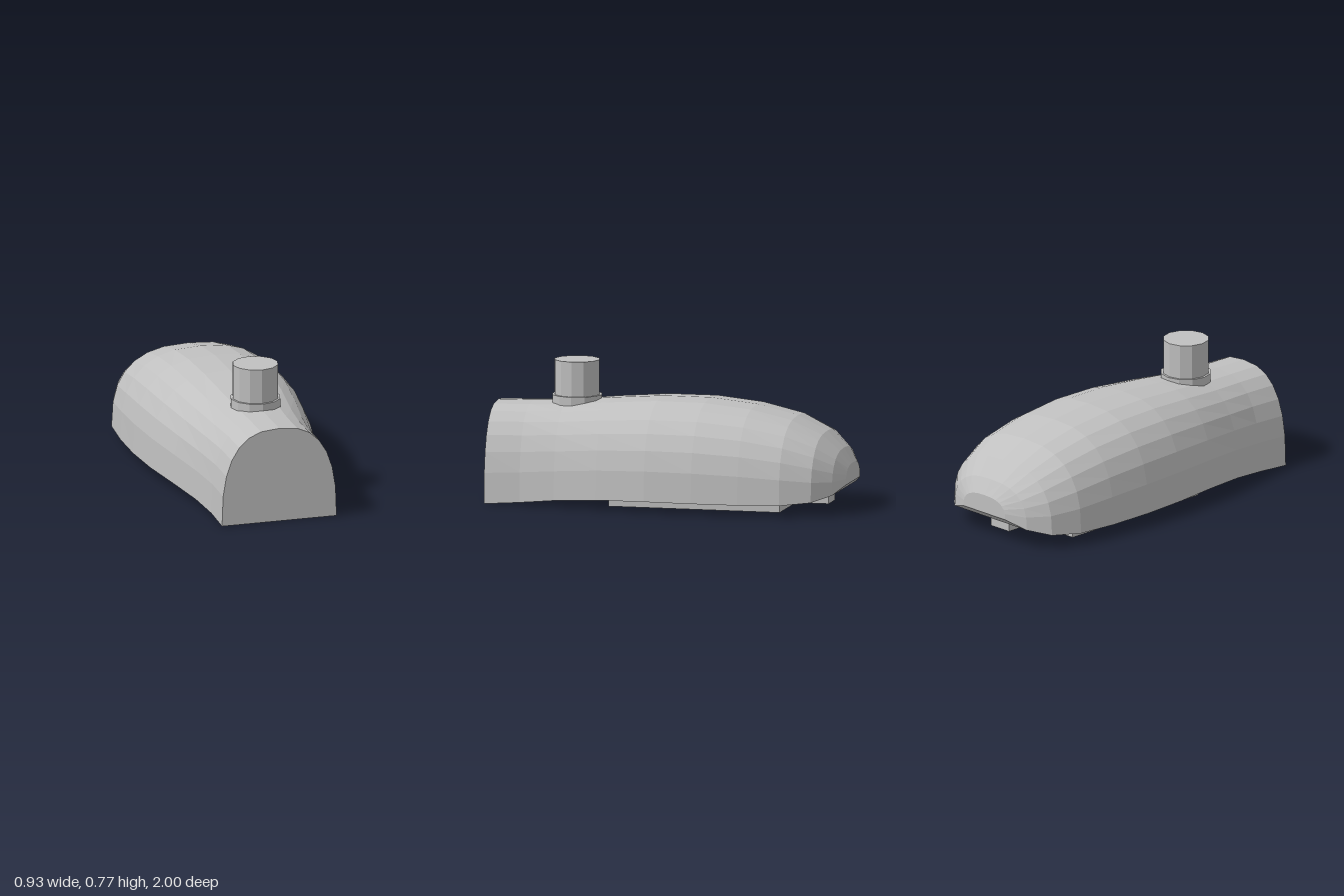
import * as THREE from 'three';

// Stations along the body: z, half width, floor height, crown height
const STATIONS = [
  [1, 0.328, 0, 0.532], [0.8, 0.328, 0.014, 0.535], [0.6, 0.357, 0.036, 0.542],
  [0.35, 0.408, 0.055, 0.565], [0.07, 0.451, 0.062, 0.585], [-0.2, 0.467, 0.063, 0.585],
  [-0.46, 0.461, 0.063, 0.558], [-0.69, 0.44, 0.066, 0.505], [-0.855, 0.38, 0.08, 0.425],
  [-0.95, 0.28, 0.109, 0.335], [-1, 0.163, 0.152, 0.255],
];
const ARCH_STEPS = 14;

// Squarish half-dome arch with a flat floor, lofted through the stations
function loftBody() {
  const n = ARCH_STEPS + 1, positions = [], index = [];
  const soften = (v) => Math.sign(v) * Math.pow(Math.abs(v), 0.76);
  for (const [z, w, floor, crown] of STATIONS) {
    for (let j = 0; j < n; j++) {
      const a = (Math.PI * j) / ARCH_STEPS;
      const up = j === ARCH_STEPS ? 0 : soften(Math.sin(a));
      positions.push(w * soften(Math.cos(a)), floor + (crown - floor) * up, z);
    }
  }
  const last = (STATIONS.length - 1) * n;
  for (let i = 0; i < last; i += n) {
    for (let j = 0; j < n; j++) {
      const k = (j + 1) % n;
      index.push(i + j, i + n + j, i + k, i + k, i + n + j, i + n + k);
    }
  }
  // Front and back end faces
  for (let j = 1; j < n - 1; j++) {
    index.push(0, j, j + 1, last, last + j + 1, last + j);
  }
  const indexed = new THREE.BufferGeometry();
  indexed.setAttribute('position', new THREE.Float32BufferAttribute(positions, 3));
  indexed.setIndex(index);
  const geometry = indexed.toNonIndexed();
  geometry.computeVertexNormals();
  return geometry;
}

export function createModel() {
  const model = new THREE.Group();
  const grey = new THREE.MeshStandardMaterial({ color: 0xc0c0c0, flatShading: true });
  grey.name = 'plain grey';

  const add = (name, geometry, x, y, z) => {
    const mesh = new THREE.Mesh(geometry, grey);
    mesh.name = name;
    mesh.position.set(x, y, z);
    model.add(mesh);
  };

  add('body', loftBody(), 0, 0, 0);

  // Round post and its collar on top
  add('collar', new THREE.CylinderGeometry(0.14, 0.14, 0.05, 12), 0, 0.552, 0.555);
  add('post', new THREE.CylinderGeometry(0.127, 0.127, 0.25, 12), 0, 0.645, 0.555);

  // Plate and small foot underneath
  add('basePlate', new THREE.BoxGeometry(0.72, 0.05, 0.965), 0, 0.042, -0.193);
  add('rearFoot', new THREE.BoxGeometry(0.14, 0.07, 0.11), 0, 0.065, -0.825);

  return model;
}
